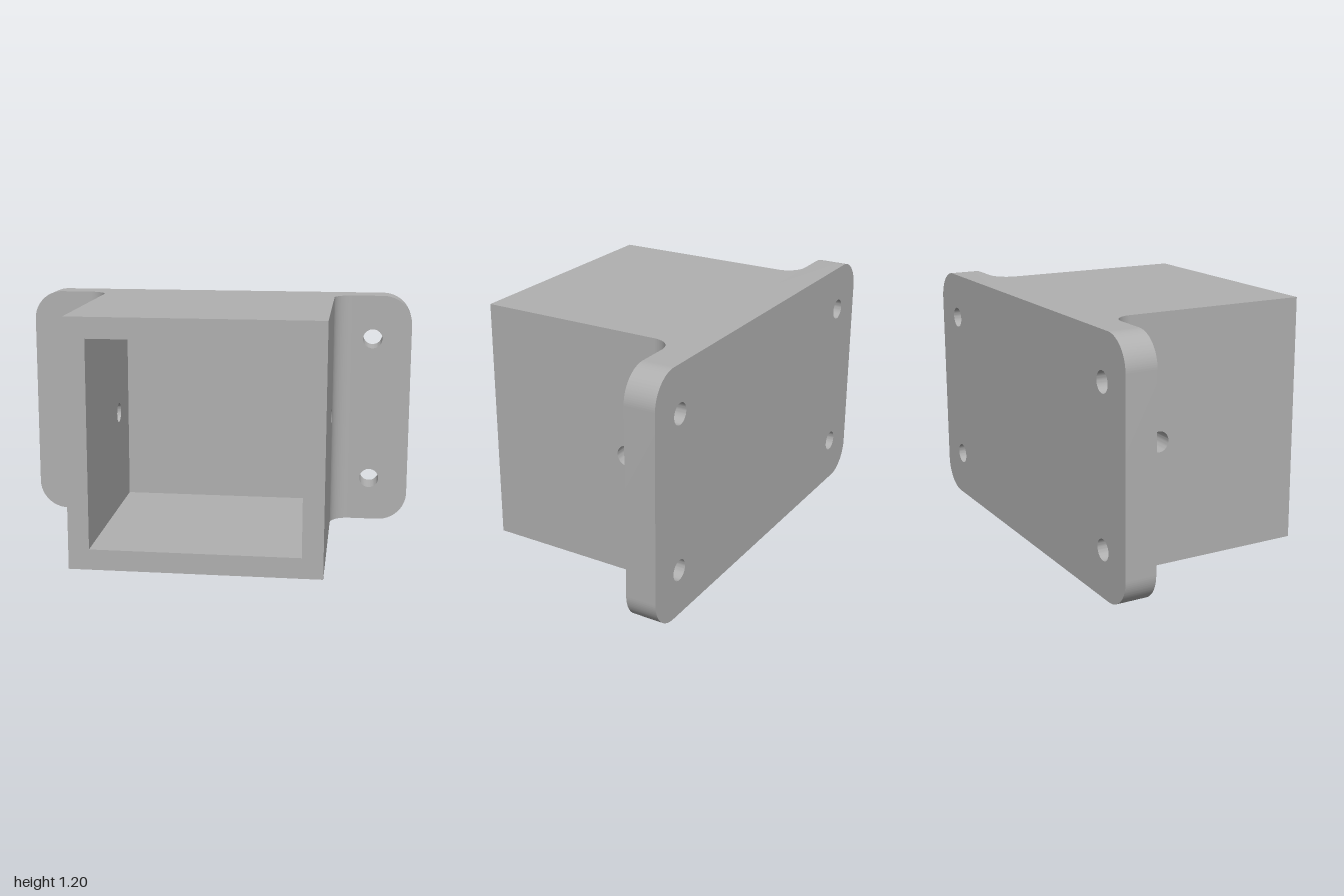
import * as THREE from 'three';
import { toCreasedNormals } from 'three/addons/utils/BufferGeometryUtils.js';

const H = 1.2, BACK = -0.575, STEP = -0.425, FRONT = 0.575;
const WALL = 0.1, HALF = 0.6, HOLE = 0.05;

function roundHole(x, y) {
  return new THREE.Path().absarc(x, y, HOLE, 0, Math.PI * 2, true);
}

// Extrude a shape, keeping round walls smooth and edges sharp
function extrude(shape, depth) {
  const geo = new THREE.ExtrudeGeometry(shape, { depth, bevelEnabled: false, curveSegments: 24 });
  return toCreasedNormals(geo, 0.6);
}

export function createModel() {
  const group = new THREE.Group();
  const grey = new THREE.MeshStandardMaterial({ color: 0xb0b0b0 });
  grey.name = 'grey';
  const add = (name, geo) => {
    const mesh = new THREE.Mesh(geo, grey);
    mesh.name = name;
    group.add(mesh);
  };

  // Mounting plate with rounded corners and four bolt holes
  const r = 0.15;
  const plate = new THREE.Shape();
  plate.absarc(1 - r, H - r, r, 0, Math.PI / 2);
  plate.absarc(-1 + r, H - r, r, Math.PI / 2, Math.PI);
  plate.absarc(-1 + r, r, r, Math.PI, Math.PI * 1.5);
  plate.absarc(1 - r, r, r, Math.PI * 1.5, Math.PI * 2);
  plate.closePath();
  for (const x of [-0.8, 0.8]) for (const y of [0.225, 0.975]) plate.holes.push(roundHole(x, y));
  add('mountingPlate', extrude(plate, STEP - BACK).translate(0, 0, BACK));

  // Socket side walls, each with a cross-pin hole
  for (const [side, s] of [['left', 1], ['right', -1]]) {
    const wall = new THREE.Shape([
      new THREE.Vector2(STEP, 0), new THREE.Vector2(FRONT, 0),
      new THREE.Vector2(FRONT, H), new THREE.Vector2(STEP, H),
    ]);
    wall.holes.push(roundHole(-0.175, H / 2));
    add(side + 'Wall', extrude(wall, WALL).rotateY(-Math.PI / 2)
      .translate(s > 0 ? HALF : -HALF + WALL, 0, 0));

    // Concave fillet between wall and plate
    const f = 0.1;
    const fillet = new THREE.Shape();
    fillet.moveTo(s * HALF, -STEP);
    fillet.lineTo(s * (HALF + f), -STEP);
    fillet.absarc(s * (HALF + f), -STEP - f, f, Math.PI / 2, s > 0 ? Math.PI : 0, s < 0);
    fillet.closePath();
    add(side + 'Fillet', extrude(fillet, H).rotateX(-Math.PI / 2));
  }

  // Socket floor and roof
  const depth = FRONT - STEP;
  for (const [name, y] of [['socketFloor', WALL / 2], ['socketRoof', H - WALL / 2]]) {
    add(name, new THREE.BoxGeometry(2 * (HALF - WALL), WALL, depth)
      .translate(0, y, (FRONT + STEP) / 2));
  }
  return group;
}
